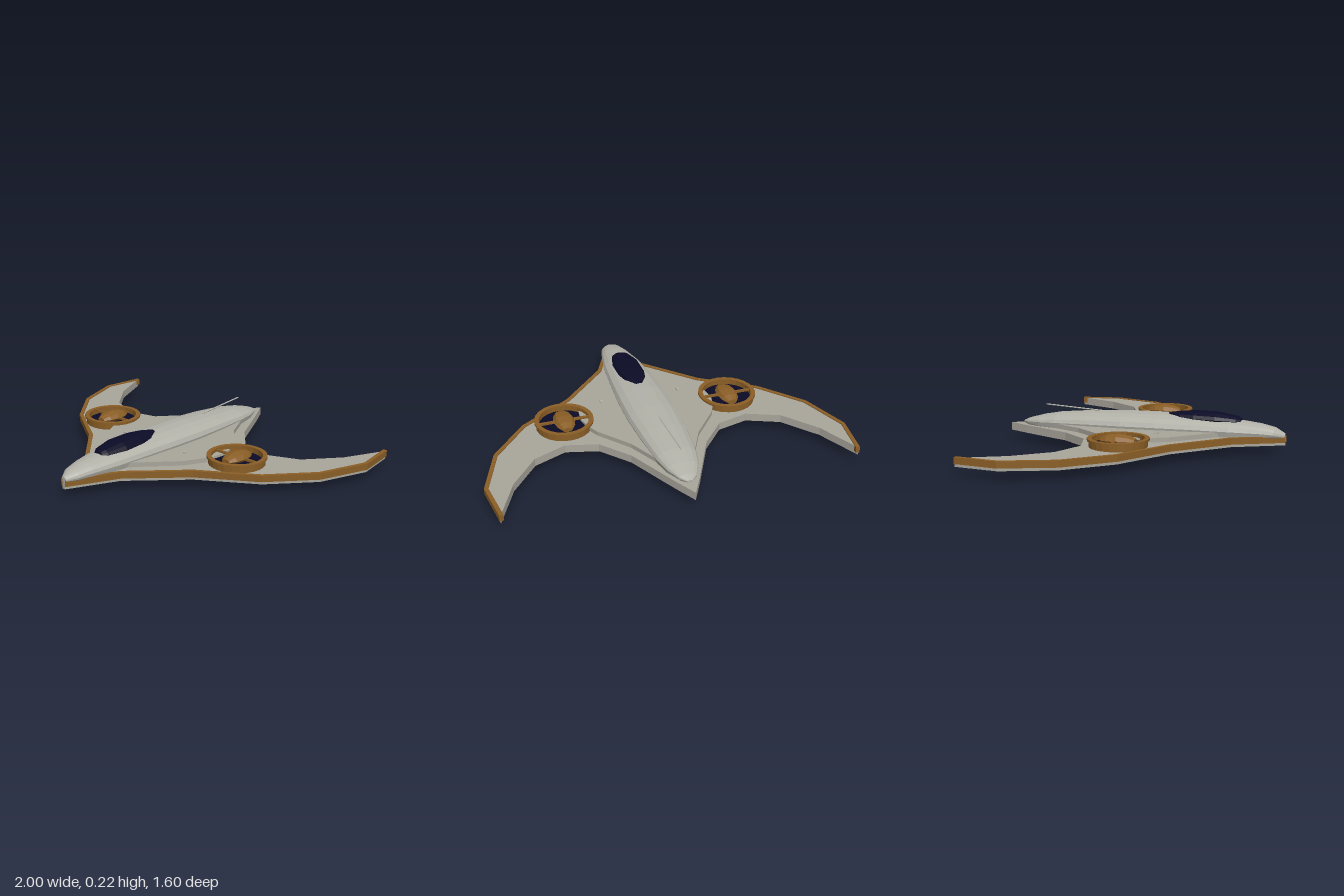
import * as THREE from 'three';

const paint = (name, color, extra = {}) =>
  Object.assign(new THREE.MeshStandardMaterial({ color, flatShading: true, ...extra }), { name });

export function createModel() {
  const model = new THREE.Group();
  model.name = 'aircraft';
  const hullGrey = paint('hull grey', 0xb2b1a8);
  const wingGrey = paint('wing grey', 0xa8a59b);
  const bronze = paint('bronze', 0x8a5e26);
  const navy = paint('navy', 0x0b0b26);

  const add = (name, geometry, material, x = 0, y = 0, z = 0, parent = model) => {
    const mesh = new THREE.Mesh(geometry, material);
    mesh.name = name;
    mesh.position.set(x, y, z);
    parent.add(mesh);
    return mesh;
  };

  // Horizontal slab from [x, z] points, between two heights
  const slab = (points, y0, y1) => {
    const shape = new THREE.Shape(points.map(([x, z]) => new THREE.Vector2(x, -z)));
    return new THREE.ExtrudeGeometry(shape, { depth: y1 - y0, bevelEnabled: false })
      .rotateX(-Math.PI / 2).translate(0, y0, 0);
  };
  const mirrorX = (points) => points.map(([x, z]) => [-x, z]).reverse();

  // Loft along z, front to back, from [z, halfWidth, yTop, yMid, yBottom]
  const loft = (stations, sides) => {
    const pos = [], index = [];
    for (const [z, w, top, mid, bottom] of stations) {
      for (let j = 0; j < sides; j++) {
        const a = (j / sides) * Math.PI * 2, s = Math.sin(a);
        pos.push(w * Math.cos(a), mid + s * (s > 0 ? top - mid : mid - bottom), z);
      }
    }
    const last = (stations.length - 1) * sides;
    for (let j = 0; j < sides; j++) {
      const k = (j + 1) % sides;
      for (let r = 0; r < last; r += sides) {
        index.push(r + j, r + sides + j, r + k, r + k, r + sides + j, r + sides + k);
      }
      if (j > 0 && k > 0) index.push(0, j, k, last, last + k, last + j);
    }
    const g = new THREE.BufferGeometry();
    g.setAttribute('position', new THREE.Float32BufferAttribute(pos, 3));
    g.setIndex(index);
    g.computeVertexNormals();
    return g;
  };

  // Crescent wing
  const leading = [[0.015, 0.8], [0.14, 0.53], [0.4, 0.26], [0.7, 0.065],
    [0.9, -0.17], [1, -0.45], [0.968, -0.69]];
  const trailing = [[0.85, -0.45], [0.7, -0.265], [0.52, -0.19], [0.345, -0.235],
    [0.21, -0.39], [0.065, -0.68]];
  // Move the leading edge inward along its normals
  const inset = (d) => leading.map(([x, z], i) => {
    const p = leading[Math.max(i - 1, 0)], n = leading[Math.min(i + 1, leading.length - 1)];
    const dx = n[0] - p[0], dz = n[1] - p[1], len = Math.hypot(dx, dz);
    return [Math.max(x + (dz / len) * d, 0.002), z - (dx / len) * d];
  });
  const half = [...inset(0.006), ...trailing];
  add('wing', slab([...half, [0, -0.8], ...mirrorX(half)], 0.05, 0.095), wingGrey);

  // Raised centre panel
  const panel = [[0.06, 0.52], [0.13, 0.42], [0.3, 0.23], [0.375, 0.08], [0.385, 0],
    [0.365, -0.08], [0.33, -0.15], [0.19, -0.32], [0.09, -0.52]];
  add('centrePanel', slab([...panel, ...mirrorX(panel)], 0.09, 0.12), wingGrey);

  // Fuselage
  add('fuselage', loft([
    [0.795, 0.018, 0.115, 0.098, 0.085],
    [0.74, 0.058, 0.145, 0.11, 0.08],
    [0.66, 0.08, 0.162, 0.118, 0.07],
    [0.5, 0.112, 0.18, 0.125, 0.045],
    [0.3, 0.13, 0.192, 0.13, 0.028],
    [0.1, 0.142, 0.197, 0.132, 0.02],
    [-0.1, 0.145, 0.196, 0.132, 0.021],
    [-0.3, 0.133, 0.187, 0.13, 0.03],
    [-0.5, 0.112, 0.17, 0.125, 0.046],
    [-0.6, 0.088, 0.152, 0.12, 0.06],
    [-0.68, 0.05, 0.13, 0.114, 0.085],
    [-0.715, 0.015, 0.115, 0.108, 0.1],
  ], 16), hullGrey);

  // Canopy
  add('canopy', loft([
    [0.555, 0.03, 0.185, 0.172, 0.15],
    [0.53, 0.052, 0.197, 0.172, 0.15],
    [0.42, 0.078, 0.215, 0.178, 0.15],
    [0.3, 0.077, 0.217, 0.182, 0.15],
    [0.22, 0.06, 0.21, 0.186, 0.15],
    [0.15, 0.02, 0.2, 0.19, 0.15],
  ], 12), navy);

  // Antenna sloping up toward the tail
  const path = new THREE.LineCurve3(new THREE.Vector3(0, 0.187, -0.2), new THREE.Vector3(0, 0.212, -0.58));
  add('antenna', new THREE.TubeGeometry(path, 1, 0.004, 6), hullGrey);

  // Belly hatch and its centre rail
  add('bellyHatch', new THREE.BoxGeometry(0.075, 0.04, 0.33), navy, 0, 0.028, 0.013);
  add('bellyRail', new THREE.BoxGeometry(0.012, 0.012, 0.33), bronze, 0, 0.006, 0.013);

  // Rotor ring profile, with a flange at the top
  const ringProfile = [[0.138, 0.09], [0.154, 0.09], [0.154, 0.128], [0.163, 0.128],
    [0.163, 0.14], [0.138, 0.14], [0.138, 0.09]].map(([r, y]) => new THREE.Vector2(r, y));

  for (const side of [1, -1]) {
    const label = side > 0 ? 'left' : 'right';

    // Bronze leading edge
    const strip = [...leading, ...inset(0.022).reverse()].map(([x, z]) => [x * side, z]);
    add(label + 'LeadingEdge', slab(strip, 0.065, 0.1), bronze);

    // Small panel vent
    add(label + 'Vent', new THREE.BoxGeometry(0.014, 0.012, 0.02), hullGrey, side * 0.228, 0.122, 0.135);

    // Lift rotor
    const rotor = new THREE.Group();
    rotor.name = label + 'Rotor';
    rotor.position.x = side * 0.478;
    model.add(rotor);
    add('rotorRing', new THREE.LatheGeometry(ringProfile, 24), bronze, 0, 0, 0, rotor);
    add('rotorDisc', new THREE.CylinderGeometry(0.14, 0.14, 0.016, 24), navy, 0, 0.1, 0, rotor);
    add('rotorBar', new THREE.BoxGeometry(0.28, 0.012, 0.014), bronze, 0, 0.128, 0, rotor);
    add('rotorPod', loft([
      [0.092, 0.028, 0.138, 0.125, 0.11],
      [0.055, 0.05, 0.154, 0.127, 0.105],
      [0, 0.06, 0.161, 0.128, 0.1],
      [-0.055, 0.05, 0.154, 0.127, 0.105],
      [-0.092, 0.028, 0.138, 0.125, 0.11],
    ], 8), bronze, 0, 0, 0, rotor);

    // Outlet ring under the wing
    const outlet = new THREE.RingGeometry(0.1, 0.145, 24).rotateX(Math.PI / 2);
    add('rotorOutlet', outlet, navy, 0, 0.047, 0, rotor);
  }
  return model;
}
